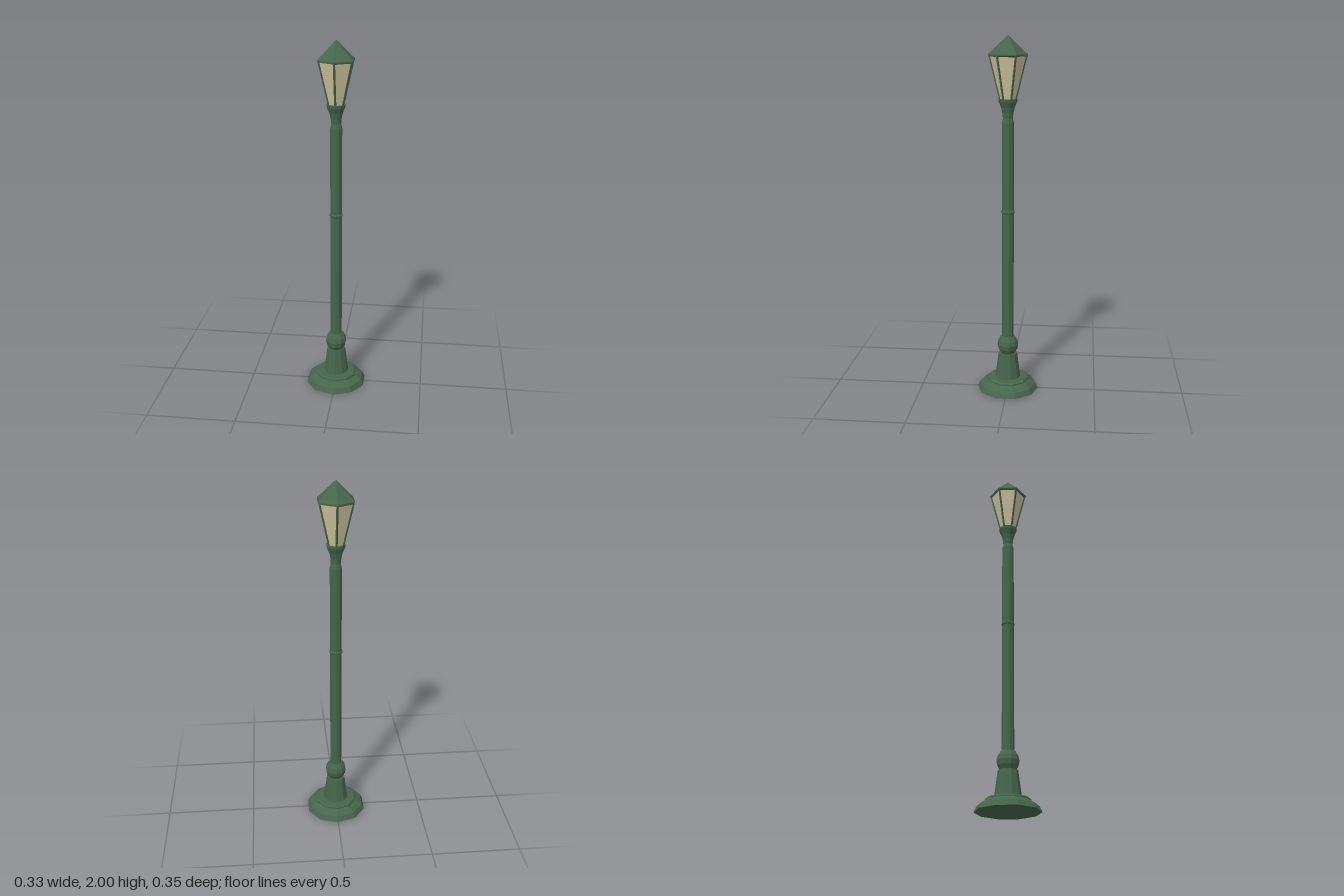
import * as THREE from 'three';

const green = new THREE.MeshStandardMaterial({ color: 0x46664c, flatShading: true });
const cream = new THREE.MeshStandardMaterial({ color: 0xd2c6a0, flatShading: true });

// Faceted turned part; a corner always points to +z
function turned(name, sides, profile, material = green) {
  const points = profile.map(([r, y]) => new THREE.Vector2(r, y));
  const mesh = new THREE.Mesh(new THREE.LatheGeometry(points, sides), material);
  mesh.name = name;
  return mesh;
}

// Four-sided bar between two points
function bar(name, a, b, radius) {
  const mesh = new THREE.Mesh(new THREE.CylinderGeometry(radius, radius, a.distanceTo(b), 4), green);
  mesh.name = name;
  mesh.position.copy(a).add(b).multiplyScalar(0.5);
  mesh.quaternion.setFromUnitVectors(new THREE.Vector3(0, 1, 0), b.clone().sub(a).normalize());
  return mesh;
}

const corner = (i, r, y) =>
  new THREE.Vector3(r * Math.sin(i * Math.PI / 3), y, r * Math.cos(i * Math.PI / 3));

export function createModel() {
  const model = new THREE.Group();
  model.name = 'streetLamp';

  // Stepped foot and tapered pedestal
  model.add(turned('foot', 10, [
    [0, 0], [0.174, 0], [0.16, 0.03], [0.12, 0.055], [0.12, 0.063], [0.11, 0.07], [0, 0.07],
  ]));
  model.add(turned('pedestal', 10, [[0.072, 0.07], [0.053, 0.215], [0, 0.215]]));

  // Ball between pedestal and pole
  model.add(turned('ball', 10, [
    [0, 0.21], [0.042, 0.215], [0.055, 0.24], [0.06, 0.265], [0.055, 0.29], [0.04, 0.315], [0, 0.322],
  ]));

  // Pole with a ring at mid height
  model.add(turned('pole', 10, [[0.033, 0.3], [0.033, 1.535], [0.027, 1.56], [0, 1.56]]));
  model.add(turned('poleRing', 10, [
    [0.032, 1.035], [0.037, 1.04], [0.037, 1.05], [0.032, 1.055],
  ]));

  // Flared cup carrying the lantern
  model.add(turned('cup', 10, [
    [0.026, 1.55], [0.03, 1.59], [0.037, 1.62], [0.05, 1.65], [0.052, 1.665], [0, 1.665],
  ]));

  // Six-sided lantern: glass, corner bars and rails
  const lantern = new THREE.Group();
  lantern.name = 'lantern';
  lantern.add(turned('glass', 6, [[0.042, 1.66], [0.099, 1.895]], cream));
  for (let i = 0; i < 6; i++) {
    lantern.add(bar('cornerBar', corner(i, 0.041, 1.66), corner(i, 0.099, 1.897), 0.006));
    lantern.add(bar('topRail', corner(i, 0.098, 1.893), corner(i + 1, 0.098, 1.893), 0.006));
  }

  // Pointed roof with a narrow eave
  lantern.add(turned('roof', 6, [
    [0, 1.893], [0.107, 1.893], [0.107, 1.9], [0.092, 1.912], [0, 2],
  ]));
  model.add(lantern);
  return model;
}
